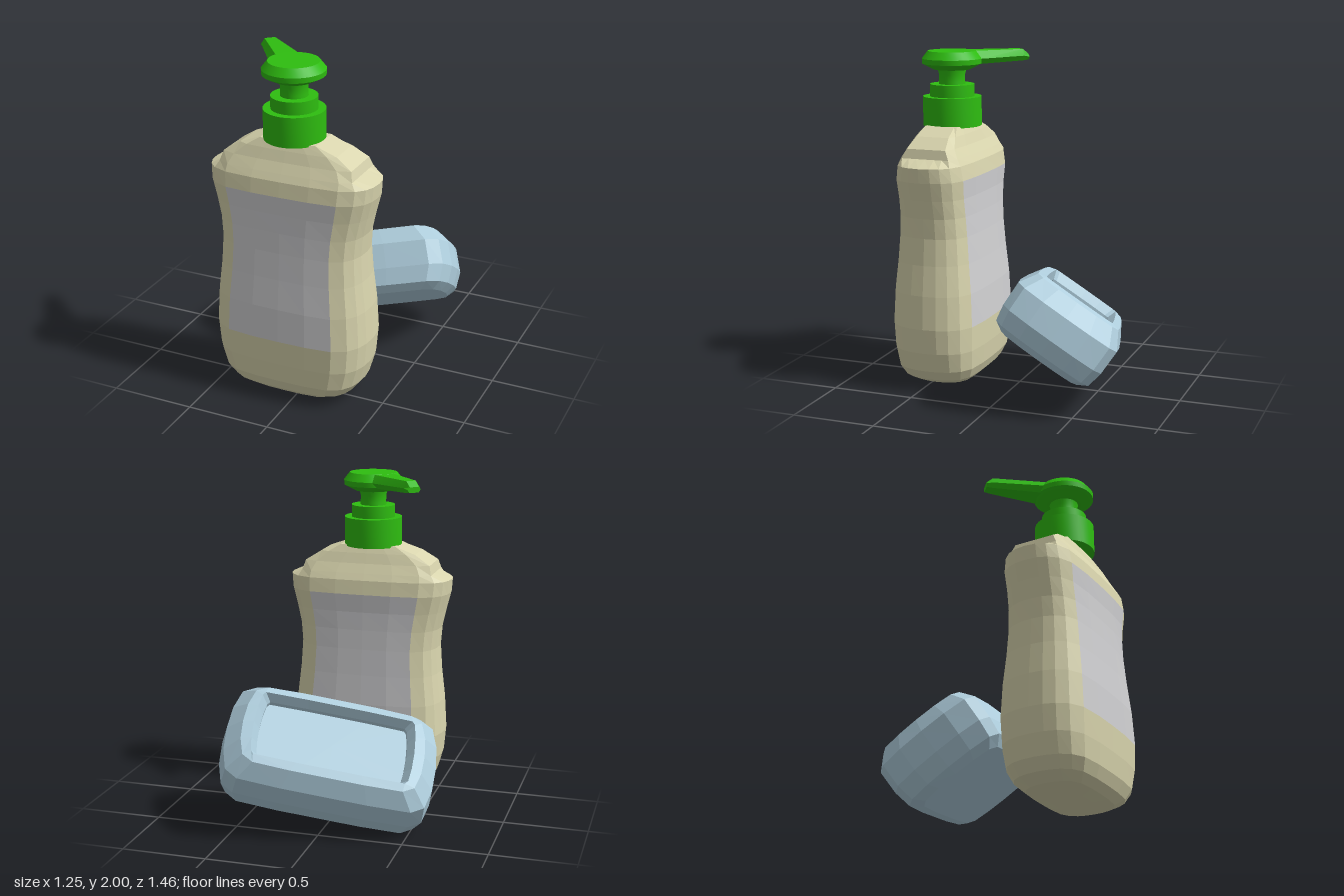
import * as THREE from 'three';
import { toCreasedNormals } from 'three/addons/utils/BufferGeometryUtils.js';

const material = (name, color, flatShading = false) => {
  const m = new THREE.MeshStandardMaterial({ color, flatShading });
  m.name = name;
  return m;
};

// Skin rings of [x, y, z] points (running from +x towards +z, stacked along +y) and cap both ends.
// slot(k, i) picks the material index of the quad above ring k, side i.
function loft(rings, slot = () => 0) {
  const buckets = [[], []];
  const n = rings[0].length;
  const centre = (r) => [0, 1, 2].map((c) => r.reduce((s, p) => s + p[c], 0) / n);
  const last = rings[rings.length - 1];
  const low = centre(rings[0]), high = centre(last);
  for (let i = 0; i < n; i++) {
    const j = (i + 1) % n;
    for (let k = 0; k < rings.length - 1; k++) {
      const a = rings[k][i], b = rings[k][j], c = rings[k + 1][j], d = rings[k + 1][i];
      buckets[slot(k, i)].push(...a, ...d, ...c, ...a, ...c, ...b);
    }
    buckets[0].push(...low, ...rings[0][i], ...rings[0][j], ...high, ...last[j], ...last[i]);
  }
  const geo = new THREE.BufferGeometry();
  geo.setAttribute('position', new THREE.Float32BufferAttribute(buckets.flat(), 3));
  geo.addGroup(0, buckets[0].length / 3, 0);
  if (buckets[1].length) geo.addGroup(buckets[0].length / 3, buckets[1].length / 3, 1);
  geo.computeVertexNormals();
  return geo;
}

// Mirror a quarter outline, from (1, 0) to (0, 1), into a full closed outline
function fullOutline(q) {
  const half = [...q, ...q.slice(0, -1).reverse().map(([x, z]) => [-x, z])];
  return [...half, ...half.slice(1, -1).reverse().map(([x, z]) => [x, -z])];
}

// Scale an outline to a ring at height y, optionally cutting its ends flat at x = +-cut
const scaleRing = (outline, y, w, d, cut = w) =>
  outline.map(([x, z]) => [THREE.MathUtils.clamp(x * w, -cut, cut), y, z * d]);

function add(parent, name, geo, mat) {
  const mesh = new THREE.Mesh(geo, mat);
  mesh.name = name;
  parent.add(mesh);
  return mesh;
}

export function createModel() {
  const group = new THREE.Group();
  group.name = 'soapDispenserAndSoapBar';
  const cream = material('cream bottle', 0xd9d5ae, true);
  const grey = material('grey label', 0xd0d0d2, true);
  const green = material('green pump', 0x2ebd10);
  const blue = material('pale blue soap', 0xb0cfde, true);

  // Bottle: [height, half width, half depth, end cut]; the label covers faces on front and back
  const bottle = new THREE.Group();
  bottle.name = 'bottle';
  bottle.position.set(-0.06, 0, 0.458);
  group.add(bottle);
  const outline = fullOutline([
    [1, 0], [0.985, 0.3], [0.94, 0.55], [0.85, 0.77], [0.68, 0.93], [0.35, 0.99], [0, 1],
  ]);
  const rows = [
    [0.008, 0.16, 0.1], [0.025, 0.3, 0.18], [0.065, 0.38, 0.225], [0.13, 0.43, 0.255],
    [0.25, 0.465, 0.268], [0.4, 0.478, 0.273], [0.6, 0.466, 0.263], [0.78, 0.445, 0.245],
    [0.94, 0.435, 0.232], [1.06, 0.445, 0.225], [1.17, 0.47, 0.222], [1.28, 0.498, 0.227],
    [1.365, 0.505, 0.212], [1.405, 0.5, 0.19, 0.405], [1.46, 0.46, 0.158, 0.39],
    [1.52, 0.36, 0.133, 0.295], [1.565, 0.25, 0.11, 0.17],
  ];
  const labelled = (k, i) => {
    const x = (outline[i][0] + outline[(i + 1) % outline.length][0]) / 2;
    return rows[k][0] >= 0.4 && rows[k + 1][0] <= 1.28 && Math.abs(x) < 0.68 ? 1 : 0;
  };
  add(bottle, 'bottleBodyWithLabel',
    loft(rows.map((row) => scaleRing(outline, ...row)), labelled), [cream, grey]);

  // Pump: cap, collar, stem and pressing head turned around one axis
  const pump = new THREE.Group();
  pump.name = 'pump';
  pump.position.set(-0.066, 0, 0.458);
  group.add(pump);
  const turned = (name, profile) => add(pump, name, toCreasedNormals(
    new THREE.LatheGeometry(profile.map(([r, y]) => new THREE.Vector2(r, y)), 32), 0.6), green);
  turned('cap', [[0, 1.555], [0.176, 1.555], [0.176, 1.73], [0, 1.73]]);
  turned('collar', [[0, 1.72], [0.133, 1.72], [0.133, 1.803], [0, 1.803]]);
  turned('stem', [[0.08, 1.79], [0.078, 1.82], [0.078, 1.86], [0.088, 1.9]]);
  turned('pumpHead', [[0, 1.89], [0.11, 1.89], [0.178, 1.925], [0.18, 1.955], [0.145, 2], [0, 2]]);

  // Spout: tapering six-sided bar, [distance, half width, bottom, middle, top]
  const spout = loft([
    [0.05, 0.11, 1.915, 1.95, 1.999], [0.15, 0.095, 1.92, 1.953, 1.999],
    [0.45, 0.049, 1.928, 1.957, 1.997], [0.487, 0.044, 1.932, 1.95, 1.965],
  ].map(([s, w, bottom, mid, top]) => [
    [w, s, mid], [0.65 * w, s, top], [-0.65 * w, s, top],
    [-w, s, mid], [-0.7 * w, s, bottom], [0.7 * w, s, bottom],
  ]));
  spout.applyMatrix4(new THREE.Matrix4().makeBasis(
    new THREE.Vector3(0.722, 0, -0.692), new THREE.Vector3(-0.692, 0, -0.722), new THREE.Vector3(0, 1, 0)));
  add(pump, 'spout', toCreasedNormals(spout, 0.3), green);

  // Soap bar: bevelled slab with a sunken panel, leaning on its edge behind the bottle
  const barOutline = fullOutline([[1, 0], [0.985, 0.45], [0.93, 0.83], [0.81, 0.97], [0.4, 1], [0, 1]]);
  const recessOutline = fullOutline([[1, 0], [0.99, 0.5], [0.965, 0.88], [0.93, 0.98], [0.4, 1], [0, 1]]);
  const bar = loft([
    ...[[-0.19, 0.545, 0.27], [-0.15, 0.6, 0.328], [-0.05, 0.635, 0.345], [0.1, 0.622, 0.348], [0.2, 0.535, 0.285]]
      .map((row) => scaleRing(barOutline, ...row)),
    ...[[0.213, 0.472, 0.232], [0.155, 0.435, 0.21], [0.13, 0.435, 0.21]]
      .map((row) => scaleRing(recessOutline, ...row)),
  ]);
  bar.applyMatrix4(new THREE.Matrix4().makeBasis(
    new THREE.Vector3(0.946, 0.199, -0.255), new THREE.Vector3(-0.305, 0.813, -0.497),
    new THREE.Vector3(0.108, 0.548, 0.83)));
  add(group, 'soapBar', bar, blue).position.set(0, 0.398, -0.272);

  return group;
}
